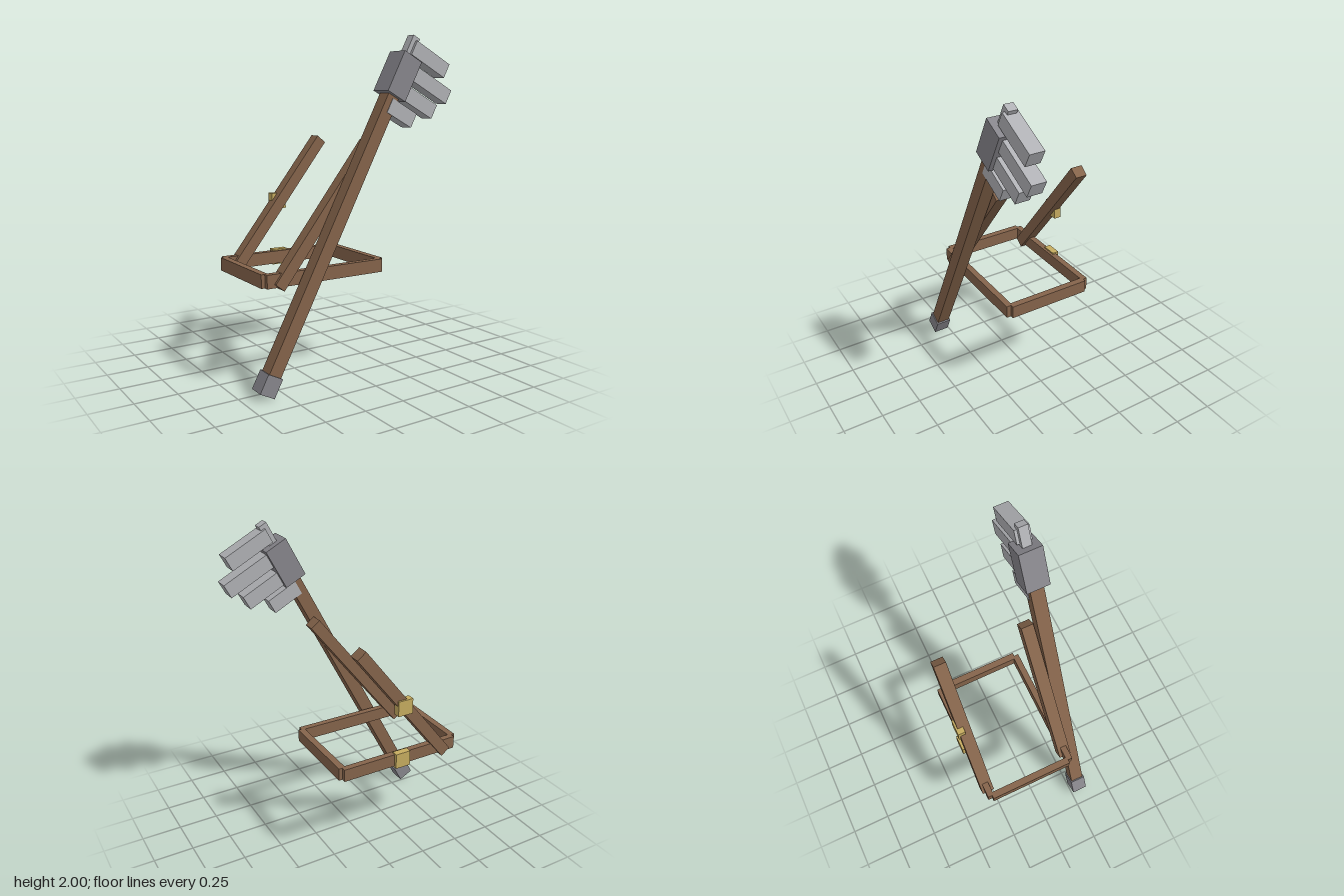
import * as THREE from 'three';

const mat = (name, color) => new THREE.MeshStandardMaterial({ name, color });

export function createModel() {
  const wood = mat('brown wood', 0x85644b);
  const steel = mat('dark grey steel', 0x87868c);
  const tooth = mat('light grey steel', 0xb0b1b5);
  const brass = mat('brass', 0xc6ac60);

  const model = new THREE.Group();
  model.name = 'clawedStaffWithFrame';

  // adds a box of size [w, h, d] centred at [x, y, z]
  const box = (parent, name, material, size, pos, tilt = 0) => {
    const mesh = new THREE.Mesh(new THREE.BoxGeometry(...size), material);
    mesh.name = name;
    mesh.position.set(...pos);
    mesh.rotation.z = -THREE.MathUtils.degToRad(tilt);
    parent.add(mesh);
    return mesh;
  };

  // leaning staff, built upright around the centre of its head
  const staff = new THREE.Group();
  staff.name = 'staff';
  staff.position.set(0.28, 1.76, 0.305);
  staff.rotation.z = -THREE.MathUtils.degToRad(27.5);
  model.add(staff);
  box(staff, 'shaft', wood, [0.08, 1.8, 0.084], [0, -0.95, 0]);
  box(staff, 'buttCap', steel, [0.1, 0.115, 0.098], [0, -1.9, 0]);
  box(staff, 'head', steel, [0.14, 0.256, 0.142], [0, 0, 0]);
  box(staff, 'headTip', tooth, [0.052, 0.138, 0.056], [-0.002, 0.187, 0]);

  // claws reach sideways from the shaft line: [height, length]
  [[0.187, 0.282], [0.058, 0.37], [-0.071, 0.312], [-0.187, 0.198]].forEach(([y, length], i) =>
    box(staff, `claw${i + 1}`, tooth, [length, 0.09, 0.09], [length / 2, y, 0]));

  // level rectangular frame
  const frame = new THREE.Group();
  frame.name = 'frame';
  model.add(frame);
  for (const [name, x] of [['rightRail', -0.558], ['leftRail', 0.23]])
    box(frame, name, wood, [0.042, 0.08, 0.532], [x, 0.63, -0.055]);
  for (const [name, z] of [['frontRail', 0.22], ['backRail', -0.329]])
    box(frame, name, wood, [0.786, 0.08, 0.039], [-0.164, 0.63, z]);

  // pair of slanted arms
  for (const [name, z] of [['frontArm', 0.218], ['backArm', -0.327]])
    box(model, name, wood, [0.07, 0.995, 0.076], [-0.178, 0.982, z], 38);

  // brass blocks on the back arm and back rail
  box(model, 'armBlock', brass, [0.099, 0.098, 0.046], [-0.165, 0.989, -0.354]);
  box(model, 'railBlock', brass, [0.099, 0.098, 0.042], [-0.165, 0.63, -0.347]);

  return model;
}
